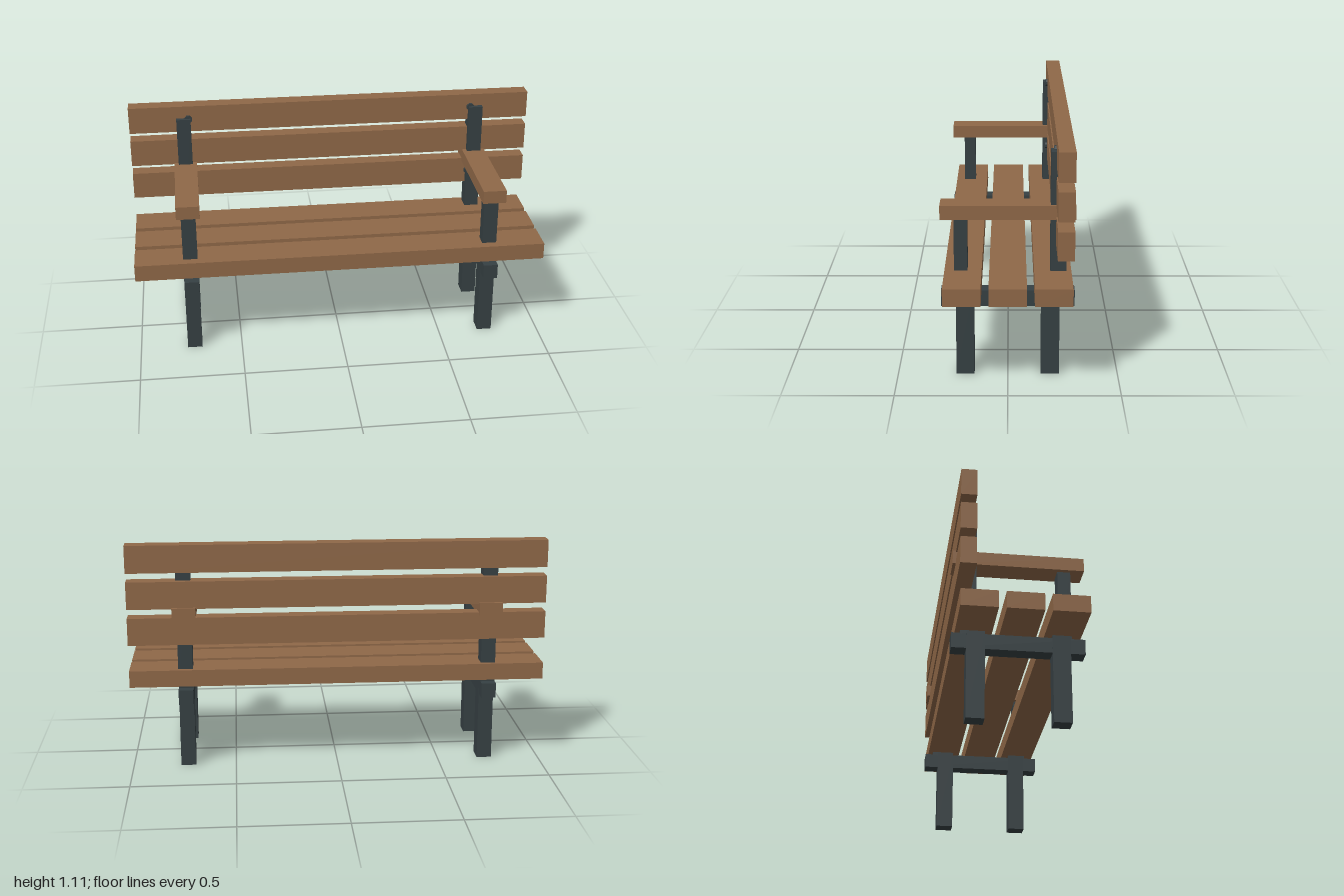
import * as THREE from 'three';

export function createModel() {
  const bench = new THREE.Group();
  bench.name = 'bench';
  const wood = new THREE.MeshStandardMaterial({ color: 0x8f6848, flatShading: true });
  const iron = new THREE.MeshStandardMaterial({ color: 0x364043, flatShading: true });

  // Box given by its extents along each axis
  function block(name, material, [x0, x1], [y0, y1], [z0, z1], parent = bench) {
    const mesh = new THREE.Mesh(new THREE.BoxGeometry(x1 - x0, y1 - y0, z1 - z0), material);
    mesh.position.set((x0 + x1) / 2, (y0 + y1) / 2, (z0 + z1) / 2);
    mesh.name = name;
    parent.add(mesh);
  }

  // Seat slats
  for (const z of [-0.2, 0, 0.2]) {
    block('seatSlat', wood, [-1, 1], [0.419, 0.5], [z - 0.083, z + 0.083]);
  }

  // Backrest slats
  for (const y of [0.693, 0.868, 1.042]) {
    block('backSlat', wood, [-1, 1], [y - 0.066, y + 0.066], [-0.286, -0.213]);
  }

  // Two mirrored side frames
  for (const side of [-1, 1]) {
    const frame = new THREE.Group();
    frame.name = side > 0 ? 'leftFrame' : 'rightFrame';
    frame.position.x = side * 0.733;
    bench.add(frame);
    const width = [-0.036, 0.036];

    block('frontLeg', iron, width, [0, 0.42], [0.152, 0.234], frame);
    block('rearLeg', iron, width, [0, 0.42], [-0.233, -0.15], frame);
    block('seatBeam', iron, [-0.035, 0.035], [0.332, 0.405], [-0.3, 0.3], frame);
    block('armPost', iron, [-0.035, 0.035], [0.4, 0.75], [0.18, 0.24], frame);
    block('backPost', iron, [-0.035, 0.035], [0.4, 1.047], [-0.261, -0.189], frame);
    block('armrest', wood, [-0.056, 0.056], [0.744, 0.808], [-0.3, 0.3], frame);

    // Bolts joining the backrest to its post
    for (const y of [0.693, 1.042]) {
      const bolt = new THREE.Mesh(new THREE.CylinderGeometry(0.02, 0.02, 0.03, 8), iron);
      bolt.rotation.set(Math.PI / 2, Math.PI / 8, 0);
      bolt.position.set(-side * 0.024, y, -0.218);
      bolt.name = 'bolt';
      frame.add(bolt);
    }
  }
  return bench;
}
